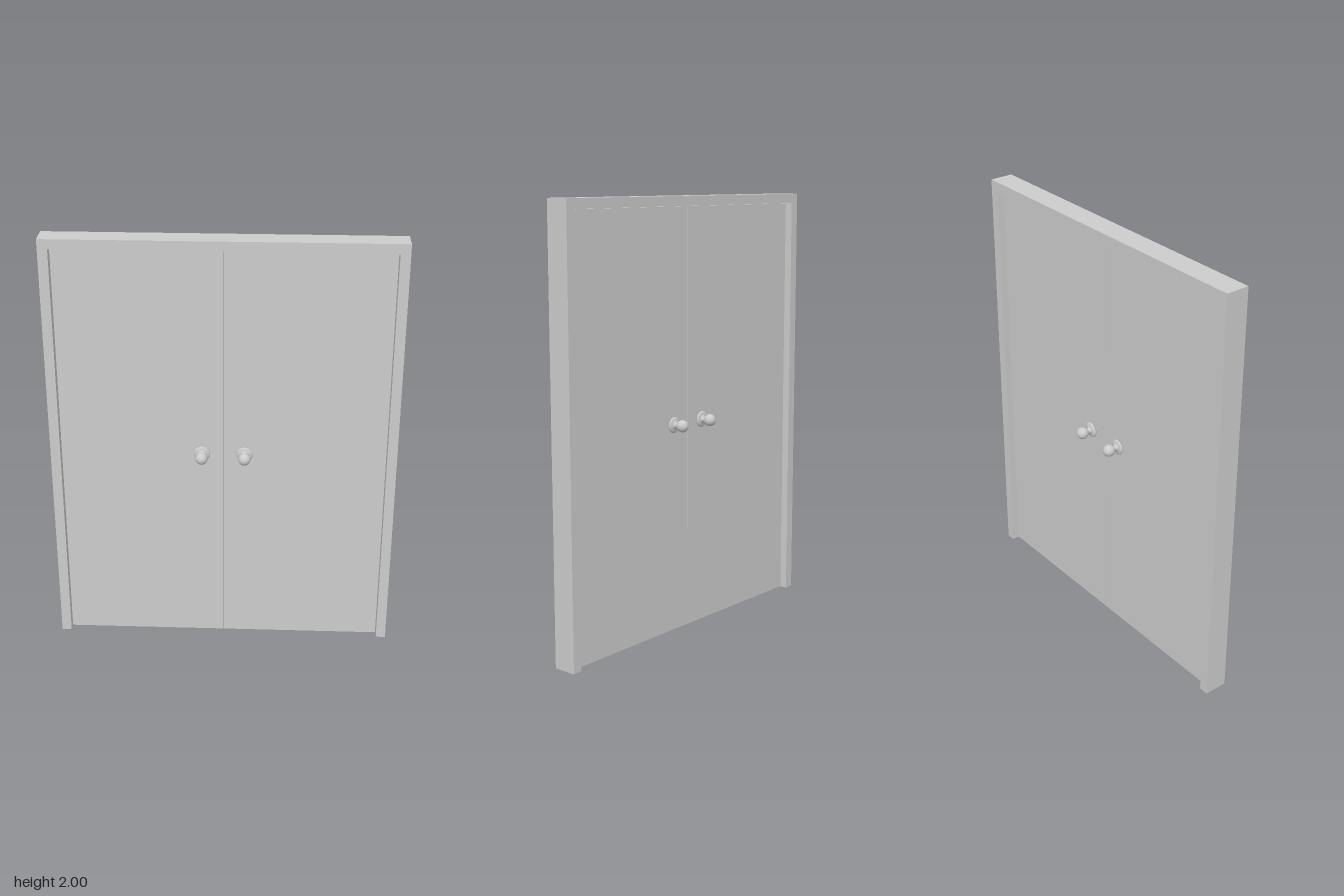
import * as THREE from 'three';

const W = 0.793, H = 2, D = 0.11;          // frame half width, height, depth
const IN_W = 0.748, IN_H = 1.956;          // opening half width and height
const DOOR_T = 0.042, GAP = 0.002;         // door thickness, clearance
const KNOB_X = 0.098, KNOB_Y = 0.975;

const material = new THREE.MeshStandardMaterial({ color: 0xcccccc });

function addMesh(parent, name, geometry) {
  const mesh = new THREE.Mesh(geometry, material);
  mesh.name = name;
  parent.add(mesh);
  return mesh;
}

// Rose, neck and ball turned as one profile, pointing along +z
function knobGeometry() {
  const points = [
    [0, 0], [0.037, 0], [0.037, 0.004], [0.034, 0.008], [0.026, 0.011], [0.013, 0.013], [0.012, 0.03],
  ].map(([r, y]) => new THREE.Vector2(r, y));
  const R = 0.028, centre = 0.052;
  for (let i = 0; i <= 14; i++) {
    const a = THREE.MathUtils.lerp(-1.12, Math.PI / 2, i / 14);
    points.push(new THREE.Vector2(Math.max(0, R * Math.cos(a)), centre + R * Math.sin(a)));
  }
  return new THREE.LatheGeometry(points, 32).rotateX(Math.PI / 2);
}

export function createModel() {
  const model = new THREE.Group();
  model.name = 'doubleDoor';

  // Door frame: two jambs and a head, open at the floor
  const outline = new THREE.Shape([
    [-W, 0], [-IN_W, 0], [-IN_W, IN_H], [IN_W, IN_H], [IN_W, 0], [W, 0], [W, H], [-W, H],
  ].map(([x, y]) => new THREE.Vector2(x, y)));
  const frame = new THREE.ExtrudeGeometry(outline, { depth: D, bevelEnabled: false });
  addMesh(model, 'doorFrame', frame.translate(0, 0, -D / 2));

  // Two leaves, each with a knob on both faces
  const knob = knobGeometry();
  for (const side of [-1, 1]) {
    const leaf = new THREE.Group();
    leaf.name = side > 0 ? 'leftDoor' : 'rightDoor';
    model.add(leaf);

    const width = IN_W - 1.5 * GAP, height = IN_H - 2 * GAP;
    const panel = addMesh(leaf, 'doorPanel', new THREE.BoxGeometry(width, height, DOOR_T));
    panel.position.set(side * (GAP / 2 + width / 2), GAP + height / 2, 0);

    for (const face of [1, -1]) {
      const handle = addMesh(leaf, face > 0 ? 'frontKnob' : 'backKnob', knob);
      handle.position.set(side * KNOB_X, KNOB_Y, face * DOOR_T / 2);
      if (face < 0) handle.rotation.y = Math.PI;
    }
  }
  return model;
}
